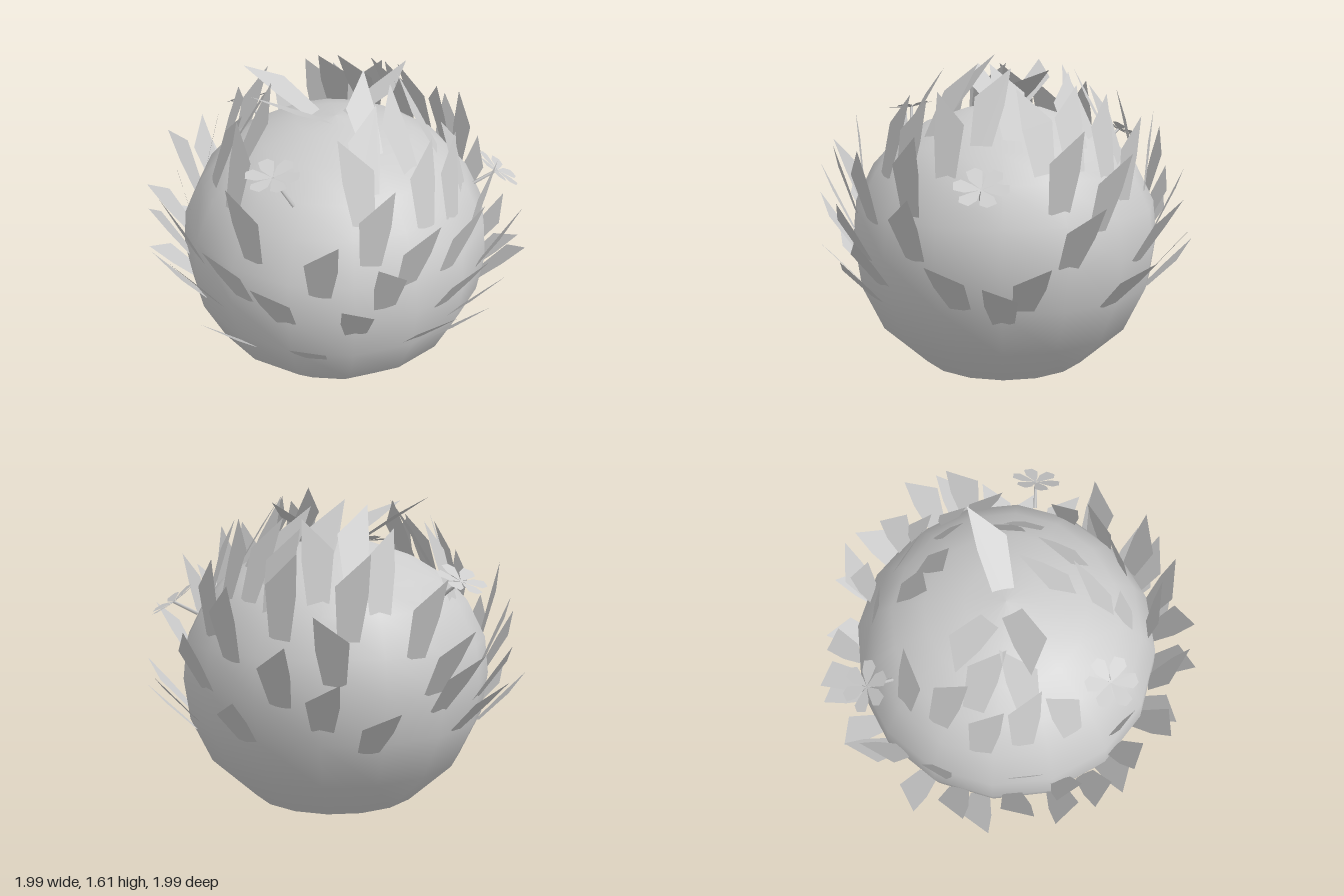
import * as THREE from 'three';

const stone = new THREE.MeshStandardMaterial({ color: 0xcccccc, side: THREE.DoubleSide });
stone.name = 'pale grey';

// Body outline: radius, height
const PROFILE = [
  [0.435, 0], [0.665, 0.21], [0.775, 0.44], [0.805, 0.65], [0.785, 0.84], [0.69, 1.03],
  [0.57, 1.16], [0.4, 1.26], [0.2, 1.325], [0, 1.35],
];

// Outward lean of a leaf in degrees by base height: lean, height
const LEAN = [[47, 0.38], [42, 0.5], [29, 0.7], [18, 0.85], [4, 0.95], [-15, 1.06], [-31, 1.2], [-36, 1.35]];

// Leaf rows: azimuth in degrees (0 is front, 90 is +x), base height, side of the tip, own lean if any
const LEAVES = {
  lowLeaf: [
    [-157, 0.6, -1], [-141, 0.44, 1], [-118, 0.42, 1], [-88, 0.56, -1], [-64, 0.4, -1], [-36, 0.42, -1],
    [0, 0.48, 1], [13, 0.44, 1], [20, 0.53, 1], [53, 0.48, -1], [68, 0.41, -1], [75, 0.48, 1],
    [108, 0.45, 1], [136, 0.53, 1], [152, 0.42, 1], [178, 0.59, 1], [-170, 0.47, 1],
  ],
  middleLeaf: [
    [-150, 0.77, -1], [-125, 0.66, 1], [-105, 0.7, 1], [-76, 0.6, -1], [-62, 0.72, -1], [-46, 0.65, -1],
    [-22, 0.6, -1], [-12, 0.74, -1], [11, 0.65, 1], [37, 0.7, 1], [90, 0.67, 1], [122, 0.65, 1],
    [140, 0.75, -1], [175, 0.68, 1],
  ],
  upperLeaf: [
    [-132, 0.87, 1], [-102, 0.9, 1], [-87, 0.78, -1], [-60, 0.92, -1],
    [-34, 0.82, 1], [-16, 0.95, 1], [-4, 0.84, 1], [14, 0.84, 1], [33, 0.9, 1],
    [88, 0.92, 1], [102, 0.84, 1], [120, 0.95, 1], [145, 0.95, 1], [169, 0.86, 1],
  ],
  crownLeaf: [
    [-157, 1.08, -1], [-139, 1.11, 1], [-118, 1.06, 1], [-100, 1.1, 1], [-78, 1.08, -1], [-17, 1.1, -1],
    [10, 1.05, 1], [25, 1.03, 1], [44, 1.07, -1], [85, 1.09, -1], [100, 1.1, 1], [115, 1.05, 1],
    [133, 1.1, -1], [158, 1.05, 1],
  ],
  topLeaf: [
    [-125, 1.2, 1], [-95, 1.2, -1], [-12, 1.19, 1], [20, 1.22, 1], [56, 1.2, 1],
    [74, 1.22, -1], [108, 1.17, 1], [130, 1.21, 1], [150, 1.18, 1],
  ],
  summitLeaf: [[-147, 1.335, 1, 57], [84, 1.342, 1, 62], [-80, 1.342, -1, 62], [3, 1.28, 1, -37]],
};

// First column of a table, interpolated by its second
function valueAt(table, y) {
  const i = Math.max(1, table.findIndex((p) => p[1] >= y));
  const [v0, y0] = table[i - 1], [v1, y1] = table[i];
  return v0 + ((v1 - v0) * (y - y0)) / (y1 - y0);
}

// Flat blade, narrow at the base, cut at a slant so one long edge ends in the tip
function leafGeometry(length, side) {
  const s = new THREE.Shape();
  s.moveTo(-0.052 * side, -0.02);
  s.quadraticCurveTo(0, -0.045, 0.052 * side, -0.03);
  s.lineTo(0.072 * side, length * 0.5);
  s.lineTo(0.066 * side, length);
  s.lineTo(-0.082 * side, length * 0.58);
  return new THREE.ShapeGeometry(s, 4);
}

// Low leaves splay outward, higher ones close over the crown, the summit ones spread flat
function addLeaf(group, name, [azimuth, y, side, lean = valueAt(LEAN, y)]) {
  const leaf = new THREE.Mesh(leafGeometry(0.31 + 0.12 * (y - 0.4), side), stone);
  const a = THREE.MathUtils.degToRad(azimuth);
  const r = valueAt(PROFILE, y) + 0.004;
  leaf.name = name;
  leaf.position.set(r * Math.sin(a), y, r * Math.cos(a));
  leaf.rotation.set(THREE.MathUtils.degToRad(lean), a, -0.08 * side, 'YXZ');
  group.add(leaf);
}

// Six flat blunt petals on a thin stalk
function makeFlower(root, head, normal) {
  const flower = new THREE.Group();
  flower.name = 'flower';
  const a = new THREE.Vector3(...root), b = new THREE.Vector3(...head);

  const stem = new THREE.Mesh(new THREE.CylinderGeometry(0.008, 0.01, a.distanceTo(b), 5), stone);
  stem.name = 'flowerStem';
  stem.position.copy(a).lerp(b, 0.5);
  stem.quaternion.setFromUnitVectors(new THREE.Vector3(0, 1, 0), b.clone().sub(a).normalize());
  flower.add(stem);

  const shape = new THREE.Shape([
    [0, 0], [0.022, 0.045], [0.042, 0.1], [0.018, 0.13], [-0.03, 0.122], [-0.034, 0.07],
  ].map((p) => new THREE.Vector2(...p)));
  const petals = new THREE.Group();
  petals.name = 'flowerHead';
  for (let i = 0; i < 6; i++) {
    const geometry = new THREE.ShapeGeometry(shape);
    geometry.rotateX(0.12).rotateZ((i * Math.PI) / 3);
    const petal = new THREE.Mesh(geometry, stone);
    petal.name = 'petal';
    petals.add(petal);
  }
  petals.position.copy(b);
  petals.quaternion.setFromUnitVectors(new THREE.Vector3(0, 0, 1), new THREE.Vector3(...normal).normalize());
  flower.add(petals);
  return flower;
}

export function createModel() {
  const model = new THREE.Group();
  model.name = 'floweringSucculent';

  // Rounded hollow body, open underneath
  const body = new THREE.Mesh(
    new THREE.LatheGeometry(PROFILE.map((p) => new THREE.Vector2(...p)), 16), stone);
  body.name = 'body';
  model.add(body);

  // Leaves in rows
  const leaves = new THREE.Group();
  leaves.name = 'leaves';
  for (const [name, row] of Object.entries(LEAVES)) {
    row.forEach((entry) => addLeaf(leaves, name, entry));
  }
  model.add(leaves);

  // Flowers
  model.add(
    makeFlower([-0.43, 1.14, 0.38], [-0.52, 1.3, 0.35], [-0.15, 0.95, 0.1]),
    makeFlower([0.62, 0.97, 0.36], [0.735, 1.035, 0.4], [0.5, 0.8, 0.25]),
    makeFlower([-0.12, 1.07, -0.62], [-0.15, 1.17, -0.75], [0, 0.87, -0.48]),
  );
  return model;
}
